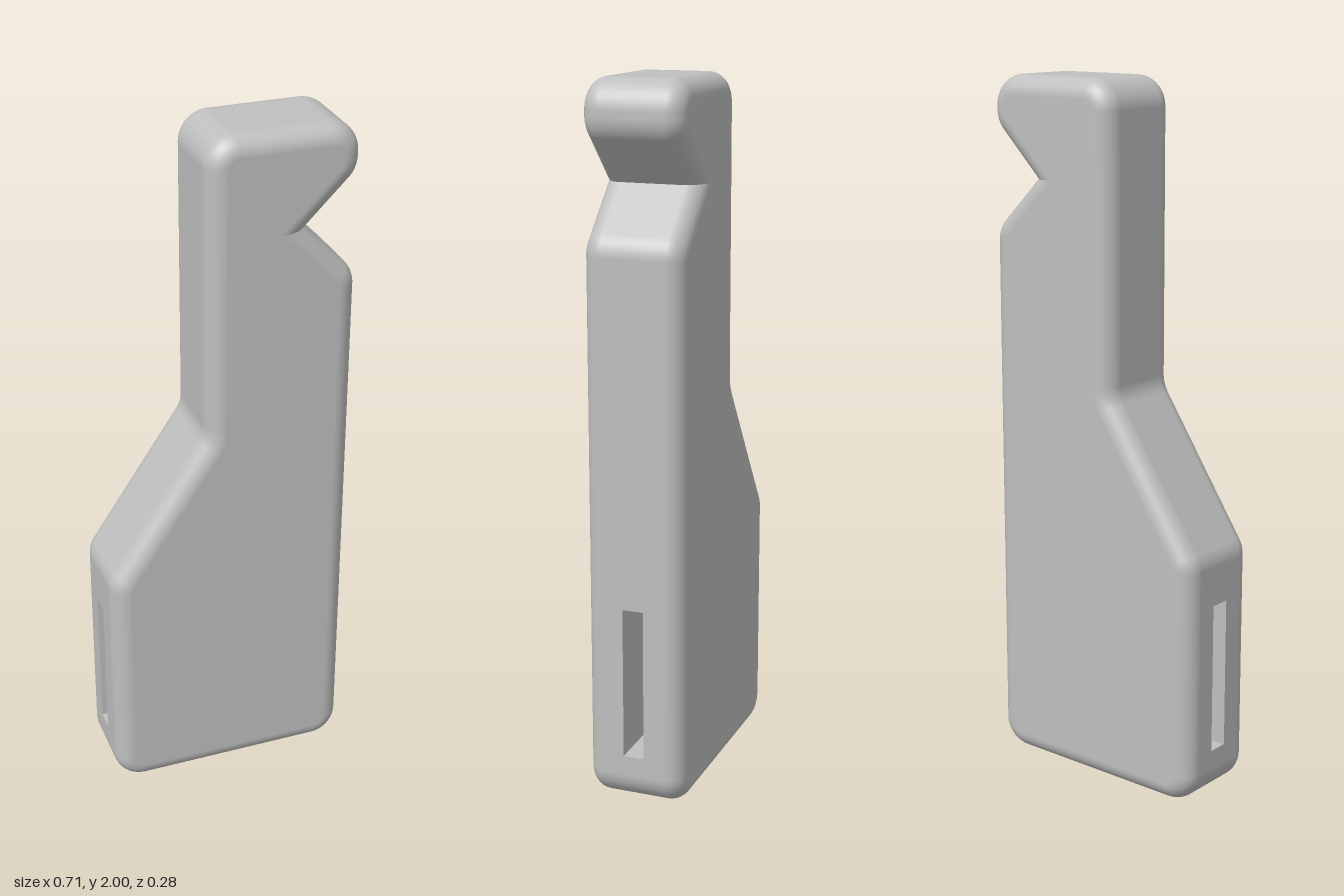
import * as THREE from 'three';

const HALF = 0.142;        // half thickness of the body
const EDGE = 0.055;        // fillet radius along front and back edges
const CORNER = 0.085;      // corner radius of the outline
const SLOT = { y0: 0.14, y1: 0.575, z: 0.03 };
const W = 0.356;

// Outline corners, counter-clockwise: x, y, corner radius
const CORNERS = [
  [-W, 0, CORNER], [W, 0, CORNER],
  [W, SLOT.y0, 0], [W, SLOT.y1, 0],
  [W, 1.574, CORNER], [0.209, 1.72, 0], [W, 1.866, CORNER],
  [W, 2, CORNER], [-0.07, 2, CORNER],
  [-0.07, 1.14, CORNER], [-W, 0.714, CORNER],
  [-W, SLOT.y1, 0], [-W, SLOT.y0, 0],
];

// Rounded outline samples: point, normal and the direction used for insetting
function makeOutline() {
  const out = [], count = CORNERS.length;
  const at = (i) => new THREE.Vector2(...CORNERS[(i + count) % count].slice(0, 2));
  const outward = (a, b) => {
    const d = b.clone().sub(a).normalize();
    return new THREE.Vector2(d.y, -d.x);
  };
  CORNERS.forEach(([, , r], i) => {
    const p = at(i), nu = outward(at(i - 1), p), nv = outward(p, at(i + 1));
    const mitre = nu.clone().add(nv).divideScalar(1 + nu.dot(nv));
    if (r === 0) {
      out.push({ p, n: nu, m: mitre }, { p, n: nv, m: mitre });
      return;
    }
    const turn = Math.atan2(nu.cross(nv), nu.dot(nv)), s = Math.sign(turn);
    const centre = p.clone().addScaledVector(mitre, -r * s);
    const steps = 10;
    for (let k = 0; k <= steps; k++) {
      const t = Math.atan2(nu.y, nu.x) + (turn * k) / steps;
      const n = new THREE.Vector2(Math.cos(t), Math.sin(t));
      out.push({ p: centre.clone().addScaledVector(n, s * r), n, m: n });
    }
  });
  return out;
}

// Side wall with filleted edges, left open where the slot passes through
function wallGeometry(outline) {
  const rows = [], steps = 8;
  for (let k = steps; k >= 0; k--) {
    const a = (k / steps) * Math.PI / 2;
    rows.push({ d: EDGE * (1 - Math.cos(a)), z: HALF - EDGE + EDGE * Math.sin(a), c: Math.cos(a), s: Math.sin(a) });
  }
  rows.push({ d: 0, z: SLOT.z, c: 1, s: 0 });
  const slotRow = rows.length - 1;
  for (const r of rows.slice().reverse()) rows.push({ ...r, z: -r.z, s: -r.s });

  const pos = [], nor = [], idx = [], n = outline.length;
  for (const { d, z, c, s } of rows) {
    for (const o of outline) {
      pos.push(o.p.x - o.m.x * d, o.p.y - o.m.y * d, z);
      nor.push(o.n.x * c, o.n.y * c, s);
    }
  }
  for (let j = 0; j < rows.length - 1; j++) {
    for (let i = 0; i < n; i++) {
      const k = (i + 1) % n, a = outline[i].p, b = outline[k].p;
      if (a.distanceTo(b) < 1e-6) continue;
      const lo = Math.min(a.y, b.y), hi = Math.max(a.y, b.y);
      if (j === slotRow && lo === SLOT.y0 && hi === SLOT.y1) continue;
      const h = j * n, l = h + n;
      idx.push(l + i, l + k, h + k, l + i, h + k, h + i);
    }
  }
  const g = new THREE.BufferGeometry();
  g.setAttribute('position', new THREE.Float32BufferAttribute(pos, 3));
  g.setAttribute('normal', new THREE.Float32BufferAttribute(nor, 3));
  g.setIndex(idx);
  return g;
}

export function createModel() {
  const group = new THREE.Group();
  group.name = 'notchedHandle';
  const grey = new THREE.MeshStandardMaterial({ color: 0xbfbfbf });
  grey.name = 'grey';
  const add = (name, geometry) => {
    const mesh = new THREE.Mesh(geometry, grey);
    mesh.name = name;
    group.add(mesh);
    return mesh;
  };

  const outline = makeOutline();
  add('sideWall', wallGeometry(outline));

  // Flat front and back faces, inset by the fillet
  const points = outline
    .filter((o, i) => i === 0 || o.p.distanceTo(outline[i - 1].p) > 1e-6)
    .map((o) => o.p.clone().addScaledVector(o.m, -EDGE));
  const face = new THREE.ShapeGeometry(new THREE.Shape(points));
  add('frontFace', face).position.z = HALF;
  const backGeometry = face.clone();
  const index = backGeometry.index.array;
  for (let i = 0; i < index.length; i += 3) [index[i], index[i + 1]] = [index[i + 1], index[i]];
  backGeometry.computeVertexNormals();
  add('backFace', backGeometry).position.z = -HALF;

  // Lining of the strap slot running from side to side
  const slotMid = (SLOT.y0 + SLOT.y1) / 2, slotHeight = SLOT.y1 - SLOT.y0;
  for (const s of [-1, 1]) {
    const cheek = add(s < 0 ? 'slotBackWall' : 'slotFrontWall', new THREE.PlaneGeometry(2 * W, slotHeight));
    cheek.position.set(0, slotMid, s * SLOT.z);
    cheek.rotation.y = s > 0 ? Math.PI : 0;
    const end = add(s < 0 ? 'slotFloor' : 'slotCeiling', new THREE.PlaneGeometry(2 * W, 2 * SLOT.z));
    end.position.y = s < 0 ? SLOT.y0 : SLOT.y1;
    end.rotation.x = s * Math.PI / 2;
  }
  return group;
}
